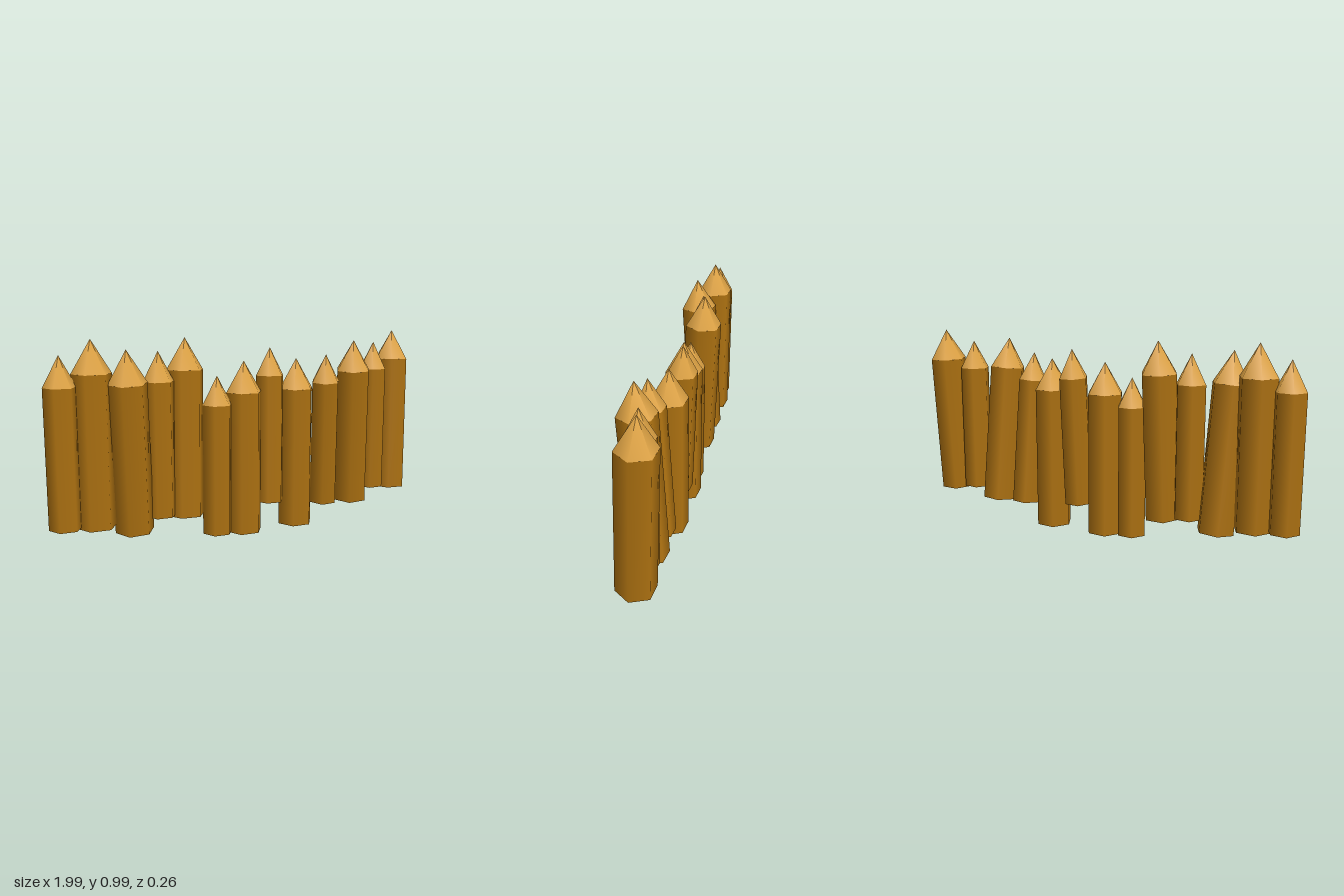
import * as THREE from 'three';

const shaftWood = new THREE.MeshStandardMaterial({ color: 0xae7211 });
shaftWood.name = 'brown wood';
const cutWood = new THREE.MeshStandardMaterial({ color: 0xdca142 });
cutWood.name = 'pale cut wood';

// Radius and tip height for the two stake thicknesses
const THIN = { r: 0.075, tip: 0.14 };
const THICK = { r: 0.092, tip: 0.152 };
const TURN = THREE.MathUtils.degToRad(25);

// Each stake: thickness, base centre, point of the tip
const stakes = [
  [THIN, [-0.923, 0.14, -0.012], [-0.923, 0.92, -0.012]],
  [THICK, [-0.78, 0.13, -0.012], [-0.78, 0.985, -0.012]],
  [THICK, [-0.6, 0.088, -0.005], [-0.642, 0.938, 0.058]],
  [THIN, [-0.465, 0.14, -0.012], [-0.465, 0.92, -0.012]],
  [THICK, [-0.335, 0.124, -0.018], [-0.314, 0.975, -0.05]],
  [THIN, [-0.168, 0.01, -0.012], [-0.165, 0.79, -0.012]],
  [THICK, [-0.02, 0, -0.012], [-0.02, 0.855, -0.012]],
  [THIN, [0.128, 0.132, -0.017], [0.145, 0.912, -0.046]],
  [THICK, [0.278, 0, -0.012], [0.278, 0.855, -0.012]],
  [THIN, [0.452, 0.093, -0.01], [0.42, 0.872, 0.046]],
  [THICK, [0.622, 0.088, -0.005], [0.58, 0.938, 0.058]],
  [THIN, [0.757, 0.14, -0.012], [0.757, 0.92, -0.012]],
  [THICK, [0.886, 0.124, -0.018], [0.907, 0.975, -0.05]],
];

function makeStake({ r, tip }, base, point) {
  const stake = new THREE.Group();
  stake.name = 'stake';
  const from = new THREE.Vector3(...base);
  const axis = new THREE.Vector3(...point).sub(from);
  const shaftLength = axis.length() - tip;

  // Six-sided shaft
  const shaft = new THREE.Mesh(
    new THREE.CylinderGeometry(r, r, shaftLength, 6, 1, true, TURN), shaftWood);
  shaft.name = 'shaft';
  shaft.position.y = shaftLength / 2;

  // Sharpened point
  const spike = new THREE.Mesh(
    new THREE.CylinderGeometry(0, r, tip, 6, 1, true, TURN), cutWood);
  spike.name = 'sharpenedTip';
  spike.position.y = shaftLength + tip / 2;

  // Sawn bottom end, facing down
  const end = new THREE.Mesh(new THREE.CircleGeometry(r, 6, TURN - Math.PI / 2), cutWood);
  end.name = 'cutEnd';
  end.rotation.x = Math.PI / 2;

  stake.add(shaft, spike, end);
  stake.position.copy(from);
  // Lean the whole stake along its axis
  stake.quaternion.setFromUnitVectors(new THREE.Vector3(0, 1, 0), axis.normalize());
  return stake;
}

export function createModel() {
  const palisade = new THREE.Group();
  palisade.name = 'palisade';
  for (const [size, base, point] of stakes) palisade.add(makeStake(size, base, point));
  return palisade;
}
